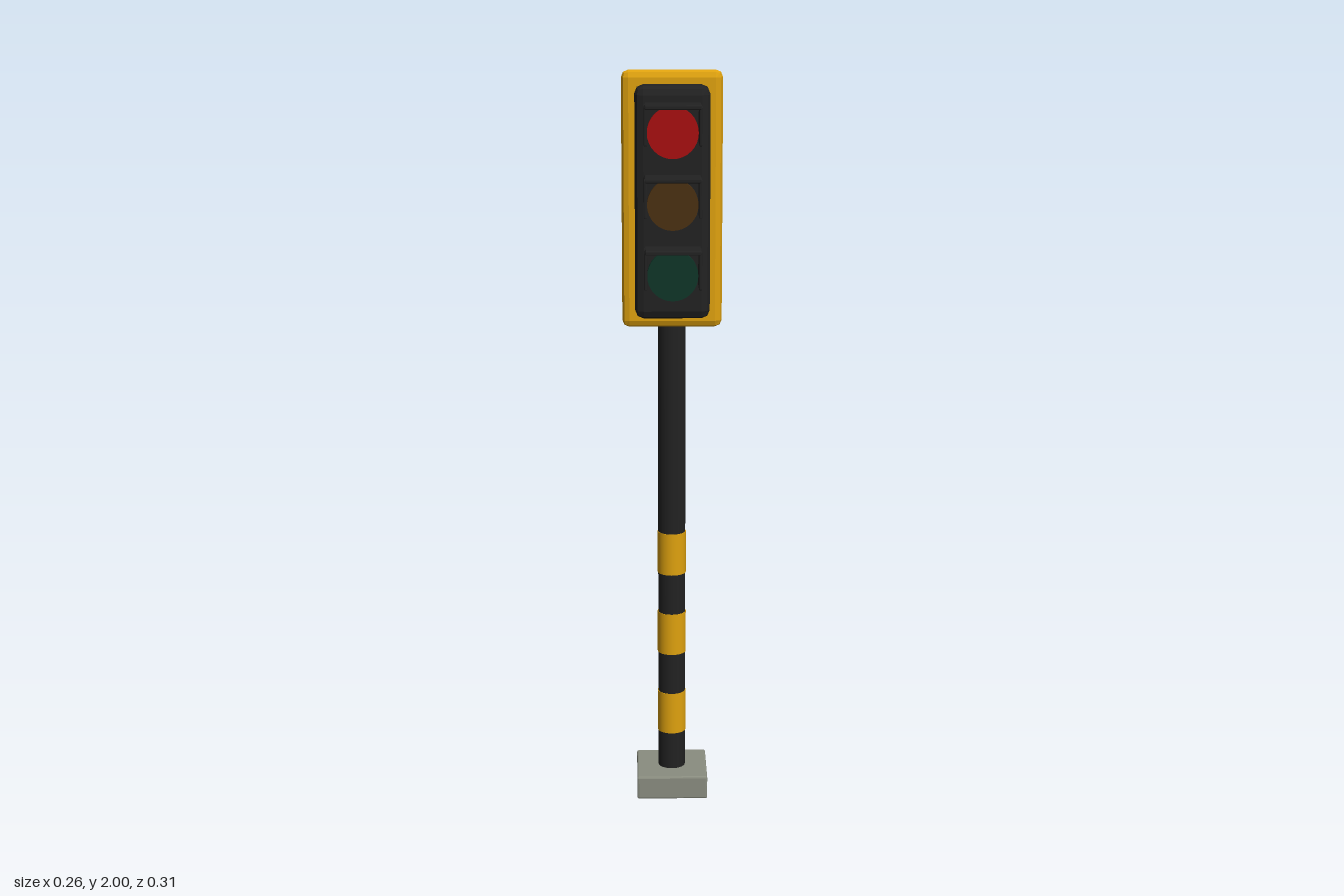
import * as THREE from 'three';
import { RoundedBoxGeometry } from 'three/addons/geometries/RoundedBoxGeometry.js';

const paint = (name, color) => {
  const m = new THREE.MeshStandardMaterial({ color });
  m.name = name;
  return m;
};

export function createModel() {
  const black = paint('black', 0x222222);
  const yellow = paint('yellow', 0xdfa20f);
  const concrete = paint('concrete', 0x8a8d80);
  const red = paint('red lens', 0xa80f10);
  const amber = paint('amber lens', 0x4a3012);
  const green = paint('green lens', 0x0f3528);

  const model = new THREE.Group();
  model.name = 'trafficLight';
  const POLE_Z = -0.057;

  const add = (parent, name, geometry, material, x, y, z) => {
    const mesh = new THREE.Mesh(geometry, material);
    mesh.name = name;
    mesh.position.set(x, y, z);
    parent.add(mesh);
    return mesh;
  };

  // Box with faceted bevels: two flat facets along every edge
  const bevelBox = (w, h, d, r) => {
    const g = new RoundedBoxGeometry(w, h, d, 1, r);
    g.computeVertexNormals();
    return g;
  };

  // Foot and pole
  add(model, 'base', bevelBox(0.194, 0.066, 0.194, 0.005), concrete, 0, 0.033, POLE_Z);
  add(model, 'pole', new THREE.CylinderGeometry(0.037, 0.037, 1.635, 24), black, 0, 0.8775, POLE_Z);

  // Warning bands around the pole
  for (const y of [0.23, 0.4625, 0.693]) {
    add(model, 'band', new THREE.CylinderGeometry(0.0388, 0.0388, 0.117, 24), yellow, 0, y, POLE_Z);
  }

  // Service hatch on the back of the pole
  add(model, 'hatch', bevelBox(0.042, 0.108, 0.012, 0.003), black, 0, 0.301, -0.095);

  // Signal head
  const head = new THREE.Group();
  head.name = 'signalHead';
  model.add(head);
  add(head, 'backplate', bevelBox(0.262, 0.67, 0.039, 0.0185), yellow, 0, 1.665, -0.0125);
  add(head, 'housing', bevelBox(0.194, 0.6, 0.09, 0.022), black, 0, 1.665, 0.029);

  // Lamps: a lens under a hood with a roof and two cheeks
  [red, amber, green].forEach((lensColor, i) => {
    const lamp = new THREE.Group();
    lamp.name = 'lamp';
    lamp.position.set(0, 1.85 - i * 0.1835, 0);
    head.add(lamp);

    const lens = new THREE.CylinderGeometry(0.066, 0.066, 0.022, 32).rotateX(Math.PI / 2);
    add(lamp, 'lens', lens, lensColor, 0, 0, 0.079);
    add(lamp, 'hoodRoof', bevelBox(0.143, 0.01, 0.088, 0.002), black, 0, 0.07, 0.111);
    for (const side of [-1, 1]) {
      add(lamp, 'hoodCheek', bevelBox(0.008, 0.098, 0.08, 0.002), black, side * 0.07, 0.022, 0.105);
    }
  });

  return model;
}
